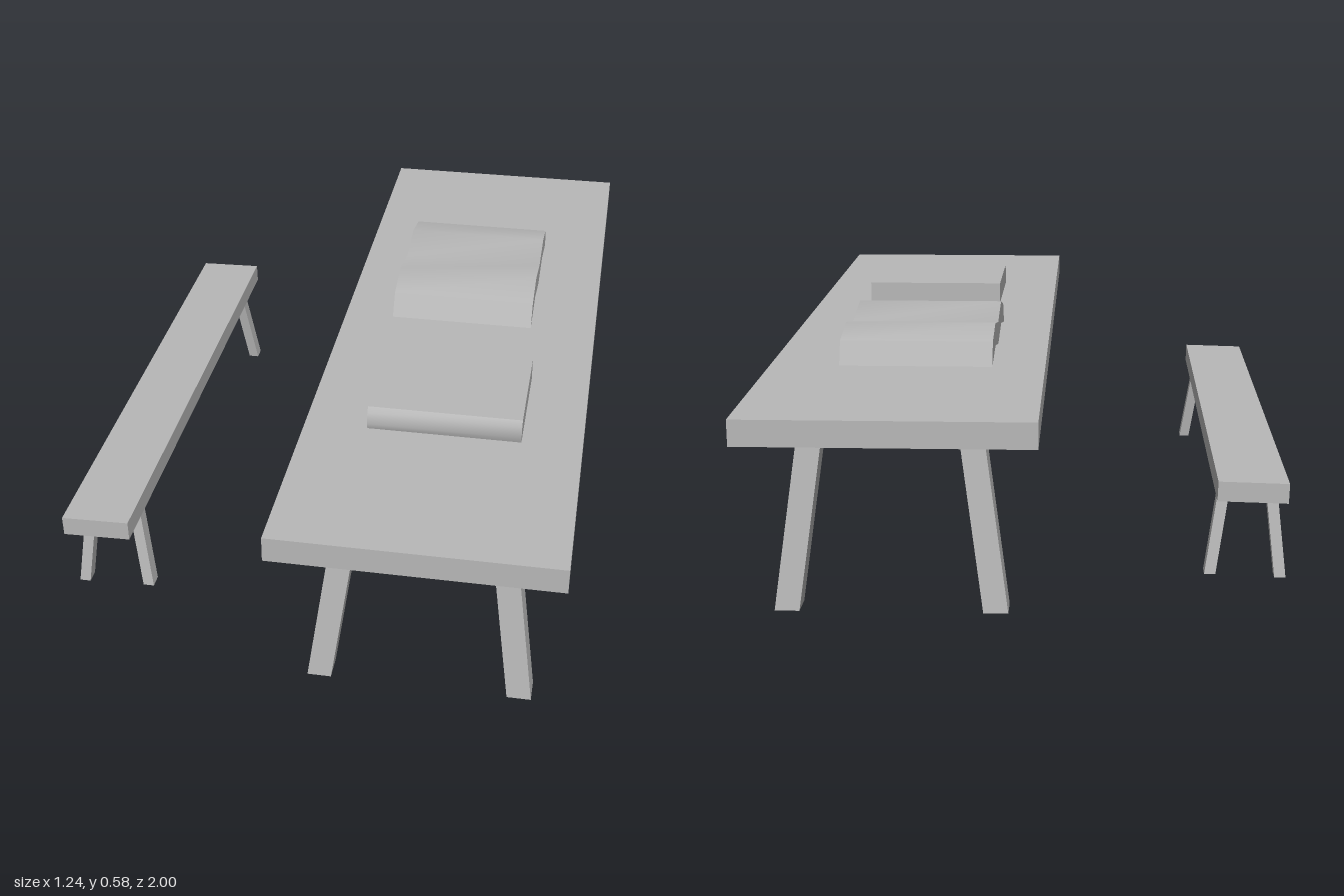
import * as THREE from 'three';
import { toCreasedNormals } from 'three/addons/utils/BufferGeometryUtils.js';

const grey = new THREE.MeshStandardMaterial({ color: 0xb8b8b8, side: THREE.DoubleSide });
grey.name = 'plain grey';

function addMesh(parent, name, geometry) {
  const mesh = new THREE.Mesh(geometry, grey);
  mesh.name = name;
  parent.add(mesh);
  return mesh;
}

// Splayed square leg with open ends; top and bottom are centre points [x, y, z]
function addLeg(parent, name, top, bottom, w, d) {
  const geo = new THREE.BoxGeometry(w, 1, d);
  const index = Array.from(geo.index.array);
  index.splice(12, 12); // drop the two caps
  geo.setIndex(index);
  geo.clearGroups();
  const p = geo.attributes.position;
  for (let i = 0; i < p.count; i++) {
    const end = p.getY(i) > 0 ? top : bottom;
    p.setXYZ(i, end[0] + p.getX(i), end[1], end[2] + p.getZ(i));
  }
  geo.computeVertexNormals();
  addMesh(parent, name, geo);
}

// Extrude a (z, y) profile along x
function profileSolid(points, x0, x1) {
  const shape = new THREE.Shape(points.map(([z, y]) => new THREE.Vector2(z, y)));
  const geo = new THREE.ExtrudeGeometry(shape, { depth: x1 - x0, bevelEnabled: false });
  geo.rotateY(-Math.PI / 2);
  geo.translate(x1, 0, 0);
  geo.clearGroups();
  return toCreasedNormals(geo, 0.7);
}

export function createModel() {
  const model = new THREE.Group();
  model.name = 'tableAndBench';

  // Table
  const table = new THREE.Group();
  table.name = 'table';
  model.add(table);
  addMesh(table, 'tableTop', new THREE.BoxGeometry(0.66, 0.06, 2)).position.set(0.289, 0.465, 0);
  for (const [zTop, zBottom] of [[0.803, 0.853], [-0.825, -0.876]]) {
    addLeg(table, 'tableLeg', [0.113, 0.435, zTop], [0.057, 0.025, zBottom], 0.056, 0.062);
    addLeg(table, 'tableLeg', [0.468, 0.435, zTop], [0.525, 0.025, zBottom], 0.056, 0.062);
  }

  // Bench, leaning very slightly
  const bench = new THREE.Group();
  bench.name = 'bench';
  model.add(bench);
  const seat = addMesh(bench, 'benchSeat', new THREE.BoxGeometry(0.165, 0.048, 1.385));
  seat.position.set(-0.529, 0.2415, 0.007);
  seat.rotation.z = 0.025;
  for (const [zTop, zBottom] of [[0.557, 0.588], [-0.555, -0.588]]) {
    addLeg(bench, 'benchLeg', [-0.583, 0.217, zTop], [-0.607, 0.002, zBottom], 0.027, 0.036);
    addLeg(bench, 'benchLeg', [-0.471, 0.219, zTop], [-0.439, 0.009, zBottom], 0.027, 0.036);
  }

  // Closed book with a rounded spine
  addMesh(model, 'closedBook', profileSolid([
    [0.235, 0.495], [0.53, 0.495], [0.535, 0.51], [0.531, 0.538], [0.52, 0.55], [0.235, 0.55],
  ], 0.11, 0.476));

  // Open book with two arched halves
  addMesh(model, 'openBook', profileSolid([
    [-0.022, 0.496], [-0.055, 0.552], [-0.15, 0.578], [-0.28, 0.552], [-0.395, 0.574],
    [-0.5, 0.552], [-0.525, 0.496], [-0.395, 0.518], [-0.28, 0.496], [-0.15, 0.521],
  ], 0.085, 0.452));

  return model;
}
